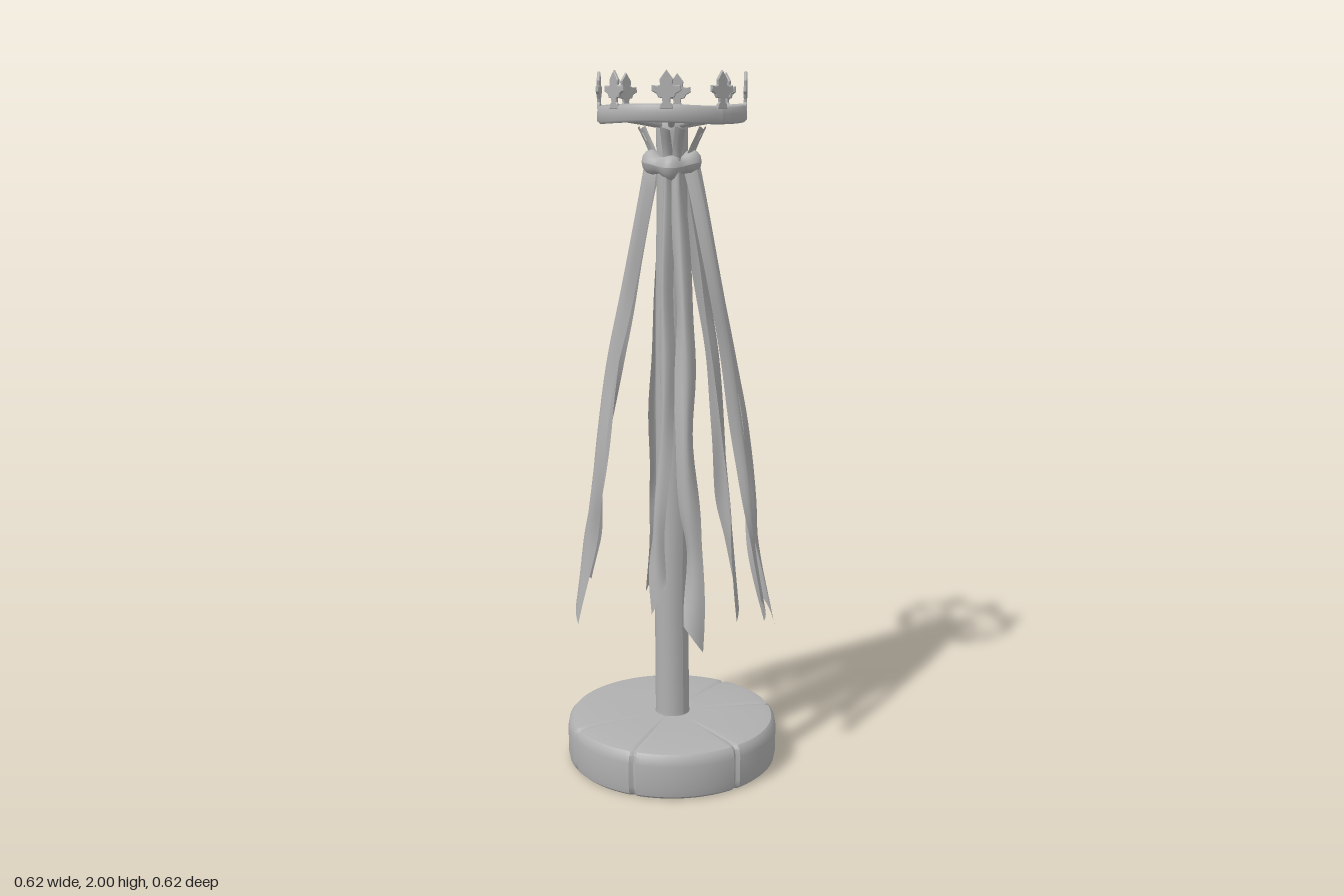
import * as THREE from 'three';
import { toCreasedNormals } from 'three/addons/utils/BufferGeometryUtils.js';

const stone = new THREE.MeshStandardMaterial({ color: 0xb0b0b0, side: THREE.DoubleSide });
stone.name = 'plain grey';

function add(parent, name, geometry) {
  const mesh = new THREE.Mesh(geometry, stone);
  mesh.name = name;
  parent.add(mesh);
  return mesh;
}

// Move every vertex of a geometry by a rule
function warp(geometry, rule) {
  const p = geometry.attributes.position;
  const v = new THREE.Vector3();
  for (let i = 0; i < p.count; i++) {
    v.fromBufferAttribute(p, i);
    rule(v);
    p.setXYZ(i, v.x, v.y, v.z);
  }
  geometry.computeVertexNormals();
  return geometry;
}

const profile = (pts) => pts.map(([x, y]) => new THREE.Vector2(x, y));

// Round base with narrow cracks between its wedges
function baseGeometry() {
  const cracks = [94, 28, -16, -58, -164, 152].map(THREE.MathUtils.degToRad);
  const g = new THREE.LatheGeometry(profile([[0, 0], [0.297, 0], [0.306, 0.008], [0.31, 0.03], [0.31, 0.1],
    [0.306, 0.122], [0.297, 0.132], [0.27, 0.137], [0.15, 0.14], [0, 0.142]]), 180);
  warp(g, (v) => {
    const r = Math.hypot(v.x, v.z);
    const a = Math.atan2(v.z, v.x);
    let depth = 0;
    for (const c of cracks) {
      const d = Math.abs(Math.atan2(Math.sin(a - c), Math.cos(a - c)));
      depth = Math.max(depth, 1 - d / 0.035);
    }
    if (r > 0.1) {
      const s = 1 - depth * 0.025;
      v.x *= s;
      v.z *= s;
      if (v.y > 0.13) v.y -= depth * 0.003;
    }
  });
  return toCreasedNormals(g, 0.6);
}

// Ribbon: a strip bowed across its width, laid along a curve; turn(t) is the heading it faces
function ribbonGeometry(curve, width, turn, bow, slant, steps) {
  const g = new THREE.PlaneGeometry(1, 1, 6, steps);
  return warp(g, (v) => {
    const across = v.x;
    const t = 0.5 - v.y;
    const a = turn(t);
    const out = bow * (0.5 - 4 * across * across) * (1 - 0.75 * t * t);
    const side = across * width(t);
    v.copy(curve.getPoint(t));
    v.x += Math.cos(a) * out - Math.sin(a) * side;
    v.z += Math.sin(a) * out + Math.cos(a) * side;
    v.y += slant * across * t ** 12;
  });
}

// Pointed finial with two side lobes
function finialGeometry() {
  const s = new THREE.Shape();
  const half = [[0.016, 0], [0.014, 0.01], [0.008, 0.016], [0.01, 0.028], [0.02, 0.03], [0.024, 0.039],
    [0.037, 0.046], [0.036, 0.058], [0.024, 0.056], [0.014, 0.06], [0.016, 0.074]];
  s.moveTo(-0.016, 0);
  half.forEach(([x, y]) => s.lineTo(x, y));
  s.lineTo(0, 0.096);
  half.slice().reverse().forEach(([x, y]) => s.lineTo(-x, y));
  const g = new THREE.ExtrudeGeometry(s, { depth: 0.005, bevelEnabled: true,
    bevelThickness: 0.002, bevelSize: 0.002, bevelSegments: 1 });
  return g.translate(0, 0, -0.0025);
}

export function createModel() {
  const model = new THREE.Group();
  model.name = 'ribbonPole';

  add(model, 'base', baseGeometry());

  // Slightly uneven pole with a domed top
  const pole = new THREE.LatheGeometry(profile([[0.053, 0.13], [0.05, 0.15], [0.049, 0.5], [0.048, 0.9],
    [0.046, 1.3], [0.043, 1.7], [0.044, 1.84], [0.044, 1.868], [0.028, 1.88], [0, 1.884]]), 20);
  add(model, 'pole', warp(pole, (v) => {
    if (v.y < 1.8) v.x += 0.002 * Math.sin(v.y * 9);
  }));

  // Lumpy knot round the pole
  const knot = new THREE.TorusGeometry(0.053, 0.026, 12, 64).rotateX(Math.PI / 2);
  add(model, 'knot', warp(knot, (v) => {
    const a = Math.atan2(v.z, v.x);
    const s = 1 + 0.09 * Math.cos(5 * a + 0.8);
    v.x *= s;
    v.z *= s;
    v.y = v.y * (1.1 + 0.2 * Math.cos(5 * a + 0.8)) + 1.752 + 0.008 * Math.sin(2 * a);
  }));

  // Hanging ribbons: [end x, end y, end z, width]
  const ribbons = new THREE.Group();
  ribbons.name = 'ribbons';
  model.add(ribbons);
  const ends = [
    [0.215, 0.46, 0.185, 0.058], [0.11, 0.5, 0.275, 0.05], [0.18, 0.45, 0.09, 0.05],
    [-0.11, 0.45, 0.22, 0.054], [-0.14, 0.54, 0.105, 0.044], [-0.21, 0.46, -0.185, 0.06],
    [-0.11, 0.54, -0.275, 0.054], [0.105, 0.48, -0.21, 0.05], [0.165, 0.48, -0.12, 0.048],
  ];
  const drop = [[1.77, 0.18], [1.68, 0.26], [1.4, 0.46], [1.2, 0.6], [1.0, 0.72], [0.8, 0.82], [0.66, 0.88]];
  ends.forEach(([x, y, z, w], i) => {
    const angle = Math.atan2(z, x);
    const reach = Math.hypot(x, z);
    const wave = (h) => Math.sin(h * 8 + i * 2.1) * 0.01 * (1.8 - h);
    const points = drop.map(([h, f]) => {
      const r = Math.max(reach * f, 0.055) + wave(h) * 0.5;
      return new THREE.Vector3(Math.cos(angle) * r - Math.sin(angle) * wave(h), h,
        Math.sin(angle) * r + Math.cos(angle) * wave(h));
    });
    points.push(new THREE.Vector3(x, y, z));
    const lean = x * z > 0 ? -0.3 : 0.3;
    const turn = (t) => angle + lean * Math.min(1, t * 4) + 0.5 * t * Math.sin(t * 11 + i * 1.7);
    const width = (t) => w * (0.65 + 0.35 * Math.min(1, t * 2.5)) * (1 + 0.1 * Math.sin(t * 25 + i));
    add(ribbons, 'ribbon', ribbonGeometry(new THREE.CatmullRomCurve3(points), width, turn,
      0.036, i % 2 ? 0.08 : -0.08, 36));

    // Short ribbon tail flaring up above the knot
    const at = (r, h) => new THREE.Vector3(Math.cos(angle) * r, h, Math.sin(angle) * r);
    const tail = new THREE.CatmullRomCurve3([at(0.05, 1.75), at(0.062, 1.79), at(0.092, 1.85)]);
    add(ribbons, 'ribbonTail', ribbonGeometry(tail, () => 0.028, () => angle, 0.01, 0.01, 6));
  });

  // Crown: band, spokes and finials
  const crown = new THREE.Group();
  crown.name = 'crown';
  model.add(crown);
  const band = new THREE.LatheGeometry(profile([[0.188, 1.868], [0.198, 1.864], [0.205, 1.87], [0.206, 1.89],
    [0.203, 1.907], [0.196, 1.912], [0.188, 1.906], [0.186, 1.885], [0.188, 1.868]]), 64);
  add(crown, 'band', warp(band, (v) => {
    v.y += 0.003 * Math.sin(3 * Math.atan2(v.z, v.x));
  }));
  for (let i = 0; i < 8; i++) {
    const arm = new THREE.Group();
    arm.name = 'crownArm';
    arm.rotation.y = (i * Math.PI) / 4;
    crown.add(arm);
    const bend = i % 2 ? 0.006 : -0.006;
    const path = new THREE.CatmullRomCurve3([new THREE.Vector3(0, 1.858, 0.03),
      new THREE.Vector3(bend, 1.872, 0.11), new THREE.Vector3(0, 1.884, 0.193)]);
    add(arm, 'spoke', new THREE.TubeGeometry(path, 10, 0.01, 8));
    add(arm, 'finial', finialGeometry()).position.set(0, 1.902, 0.201);
  }
  return model;
}
